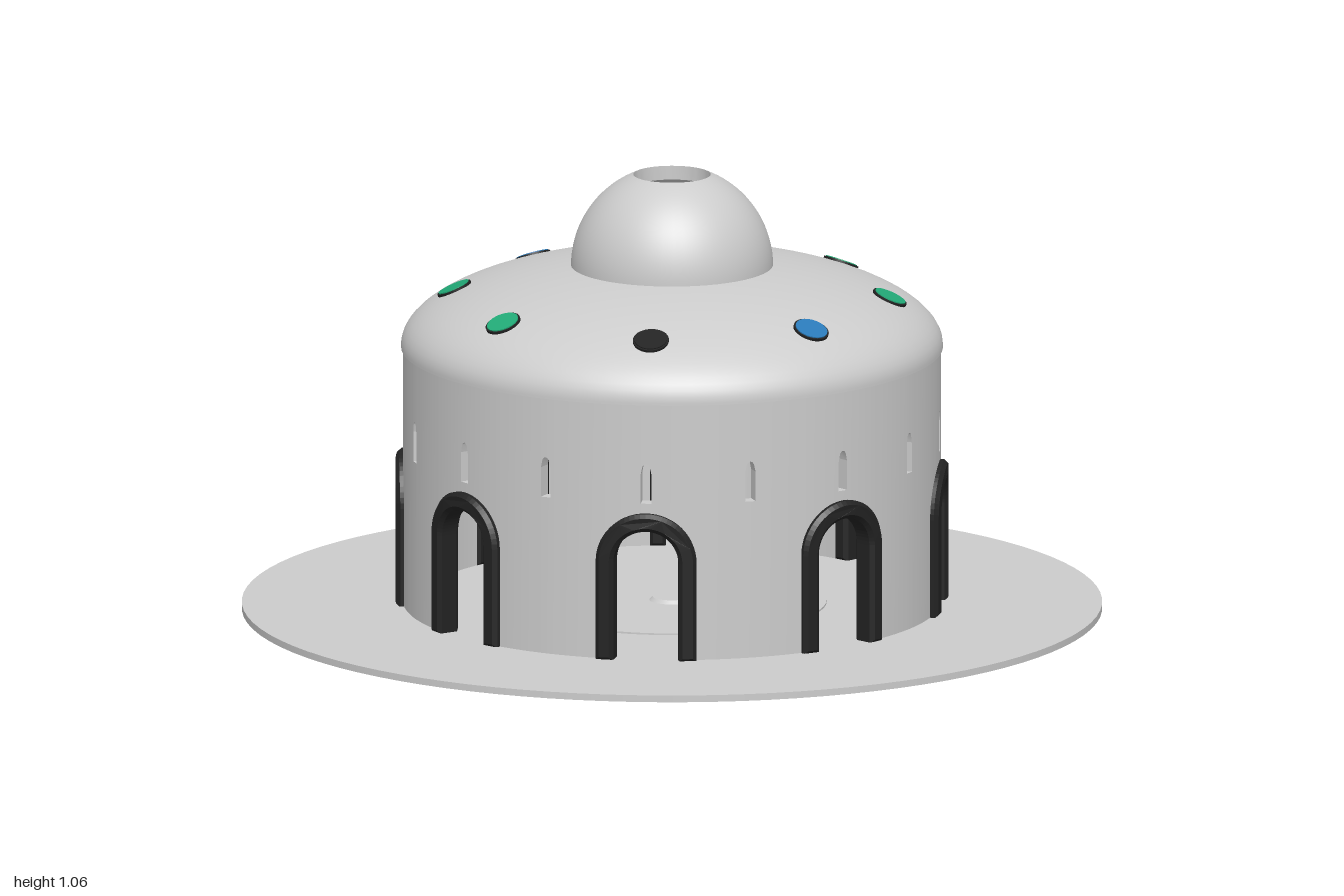
import * as THREE from 'three';
import { mergeGeometries, toCreasedNormals } from 'three/addons/utils/BufferGeometryUtils.js';

const mat = (name, color) => {
  const m = new THREE.MeshStandardMaterial({ color });
  m.name = name;
  return m;
};

const R_IN = 0.592, R_OUT = 0.625, WALL_TOP = 0.645;
const DOOR = 0.105 / R_OUT, SPRING = 0.27;   // door half angle, arch spring height
const SLIT = 0.0125 / R_OUT;                 // slit half angle

// Map every vertex to angle, height and radius around the y axis
function bend(geo, rule) {
  const p = geo.attributes.position;
  for (let i = 0; i < p.count; i++) {
    const [t, y, r] = rule(p.getX(i), p.getY(i), p.getZ(i));
    p.setXYZ(i, r * Math.sin(t), y, r * Math.cos(t));
  }
  geo.computeVertexNormals();
  return geo;
}

// Curved wall block between two angles, with lower and upper edge curves
function panel(a, b, lo, hi, n) {
  return bend(new THREE.BoxGeometry(1, 1, 1, n, 1, 1), (x, y, z) => {
    const t = a + (b - a) * (x + 0.5);
    return [t, THREE.MathUtils.lerp(lo(t), hi(t), y + 0.5), z > 0 ? R_OUT : R_IN];
  });
}

// One eighth of the wall: a doorway, a slit above it, and a slit beside it
function wallBay() {
  const base = () => 0, top = () => WALL_TOP, sill = () => 0.41;
  const arch = t => SPRING + R_OUT * Math.sqrt(Math.max(0, DOOR * DOOR - t * t));
  const head = c => t => 0.48 + 0.025 * Math.sqrt(Math.max(0, 1 - ((t - c) / SLIT) ** 2));
  const mid = Math.PI / 8, end = Math.PI / 4 - DOOR;
  return mergeGeometries([
    panel(-DOOR, -SLIT, arch, top, 10),
    panel(-SLIT, SLIT, arch, sill, 4),
    panel(-SLIT, SLIT, head(0), top, 6),
    panel(SLIT, DOOR, arch, top, 10),
    panel(DOOR, mid - SLIT, base, top, 5),
    panel(mid - SLIT, mid + SLIT, base, sill, 2),
    panel(mid - SLIT, mid + SLIT, head(mid), top, 6),
    panel(mid + SLIT, end, base, top, 5),
  ]);
}

// Bevelled arch frame, wrapped onto the wall's curve
function archFrame() {
  const b = 0.009, o = 0.117 - b, i = 0.075 + b, y0 = 0.035 + b;
  const s = new THREE.Shape();
  s.moveTo(o, y0);
  s.lineTo(o, SPRING);
  s.absarc(0, SPRING, o, 0, Math.PI, false);
  s.lineTo(-o, y0);
  s.lineTo(-i, y0);
  s.lineTo(-i, SPRING);
  s.absarc(0, SPRING, i, Math.PI, 0, true);
  s.lineTo(i, y0);
  s.closePath();
  const geo = new THREE.ExtrudeGeometry(s, {
    depth: 0.04, bevelEnabled: true, bevelSize: b, bevelThickness: b, bevelSegments: 1, curveSegments: 14,
  });
  return bend(geo, (x, y, z) => [x / R_OUT, y, 0.594 + z]);
}

const lathe = (pts, n = 72) => toCreasedNormals(
  new THREE.LatheGeometry(pts.map(p => new THREE.Vector2(p[0], p[1])), n), 0.6);

// Points on an elliptical arc, from angle a to angle b
const arcPts = (rx, ry, cy, a, b, n = 18) => Array.from({ length: n + 1 }, (_, i) => {
  const t = a + (b - a) * i / n;
  return [rx * Math.cos(t), cy + ry * Math.sin(t)];
});

export function createModel() {
  const stone = mat('pale stone', 0xcccccc);
  const black = mat('black trim', 0x222222);
  const green = mat('green glass', 0x22aa77);
  const blue = mat('blue glass', 0x2a7ab8);

  const model = new THREE.Group();
  model.name = 'domedPavilion';
  const add = (name, geo, material, parent = model) => {
    const m = new THREE.Mesh(geo, material);
    m.name = name;
    parent.add(m);
    return m;
  };

  // Ground plate and floor details
  add('groundPlate', new THREE.CylinderGeometry(1, 1, 0.016, 96), stone).position.y = 0.03;
  add('floorStep', new THREE.CylinderGeometry(0.36, 0.36, 0.004, 64), stone).position.y = 0.04;
  add('floorCentre', new THREE.CylinderGeometry(0.045, 0.055, 0.01, 32), stone).position.y = 0.045;

  // Wall bays and arch frames
  const bay = wallBay(), frame = archFrame();
  for (let k = 0; k < 8; k++) {
    const group = new THREE.Group();
    group.name = 'bay' + (k + 1);
    group.rotation.y = k * Math.PI / 4;
    add('wall', bay, stone, group);
    add('archFrame', frame, black, group);
    model.add(group);
  }

  // Main dome shell, open in the middle under the cupola
  const H = 0.205, end = Math.acos(0.21 / 0.63);
  add('mainDome', lathe([
    [R_IN, WALL_TOP], [0.63, WALL_TOP],
    ...arcPts(0.63, H, 0.65, 0, end),
    ...arcPts(0.597, H - 0.03, 0.65, Math.acos(0.21 / 0.597), 0),
    [R_IN, WALL_TOP],
  ]), stone);

  // Cupola shell with a round opening at the top
  add('cupola', lathe([
    [0.205, 0.815], [0.235, 0.815],
    ...arcPts(0.235, 0.235, 0.838, 0, Math.acos(0.09 / 0.235)),
    ...arcPts(0.205, 0.205, 0.838, Math.acos(0.09 / 0.205), 0),
    [0.205, 0.815],
  ], 56), stone);

  // Round windows, counted from the front towards +x
  const glass = [green, black, blue, green, green, blue, blue, green];
  const r = 0.508, y = 0.65 + H * Math.sqrt(1 - (r / 0.63) ** 2);
  const tilt = Math.atan2(r / 0.63 ** 2, (y - 0.65) / H ** 2);
  glass.forEach((g, k) => {
    const turn = new THREE.Group();
    turn.name = 'roofWindow' + (k + 1);
    turn.rotation.y = k * Math.PI / 4;
    const seat = new THREE.Group();
    seat.position.set(0, y, r);
    seat.rotation.x = tilt;
    turn.add(seat);
    add('windowRim', new THREE.CylinderGeometry(0.042, 0.042, 0.05, 28), black, seat).position.y = -0.021;
    add('pane', new THREE.CylinderGeometry(0.038, 0.038, 0.003, 28), g, seat).position.y = 0.005;
    add('innerPane', new THREE.CylinderGeometry(0.038, 0.038, 0.003, 28), g, seat).position.y = -0.047;
    model.add(turn);
  });

  return model;
}
